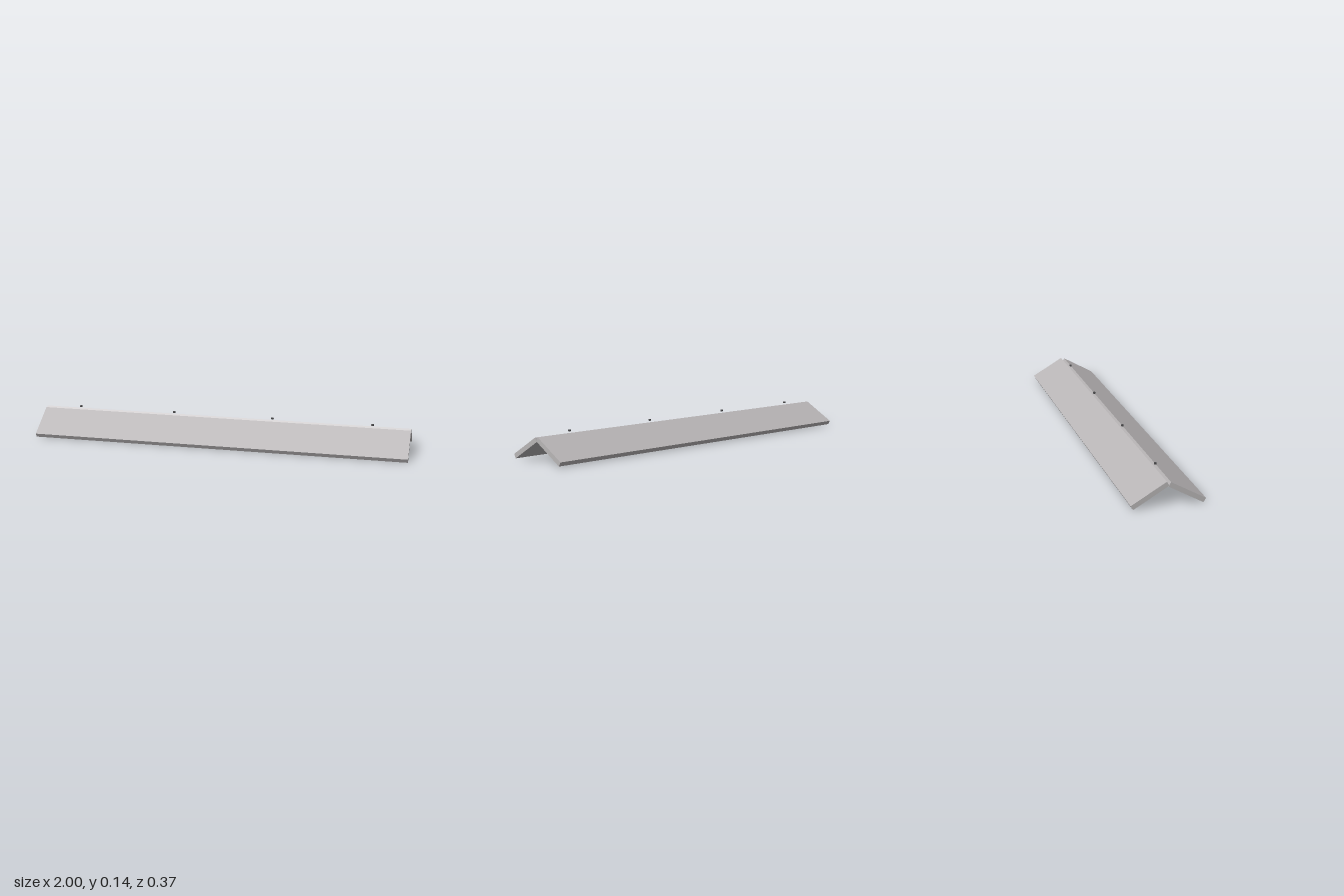
import * as THREE from 'three';

export function createModel() {
  const group = new THREE.Group();
  const sheetGrey = new THREE.MeshStandardMaterial({ color: 0xb9b6b7 });
  sheetGrey.name = 'sheetGrey';
  const boltGrey = new THREE.MeshStandardMaterial({ color: 0x4a4a4c });
  boltGrey.name = 'boltGrey';

  // Two sloping slabs meeting at the ridge
  const slabGeometry = new THREE.BoxGeometry(2, 0.024, 0.2);
  const addSlab = (name, side, y) => {
    const slab = new THREE.Mesh(slabGeometry, sheetGrey);
    slab.name = name;
    slab.position.set(0, y, side * 0.0905);
    slab.rotation.x = side * Math.PI / 6;
    group.add(slab);
  };
  addSlab('frontSlab', 1, 0.0615);
  addSlab('backSlab', -1, 0.0655);

  // Row of small bolt heads just above the ridge
  const boltGeometry = new THREE.CylinderGeometry(0.0068, 0.0068, 0.008, 12);
  [-0.8, -0.27, 0.27, 0.8].forEach((x, i) => {
    const bolt = new THREE.Mesh(boltGeometry, boltGrey);
    bolt.name = `ridgeBolt${i + 1}`;
    bolt.position.set(x, 0.137, 0);
    group.add(bolt);
  });
  return group;
}
